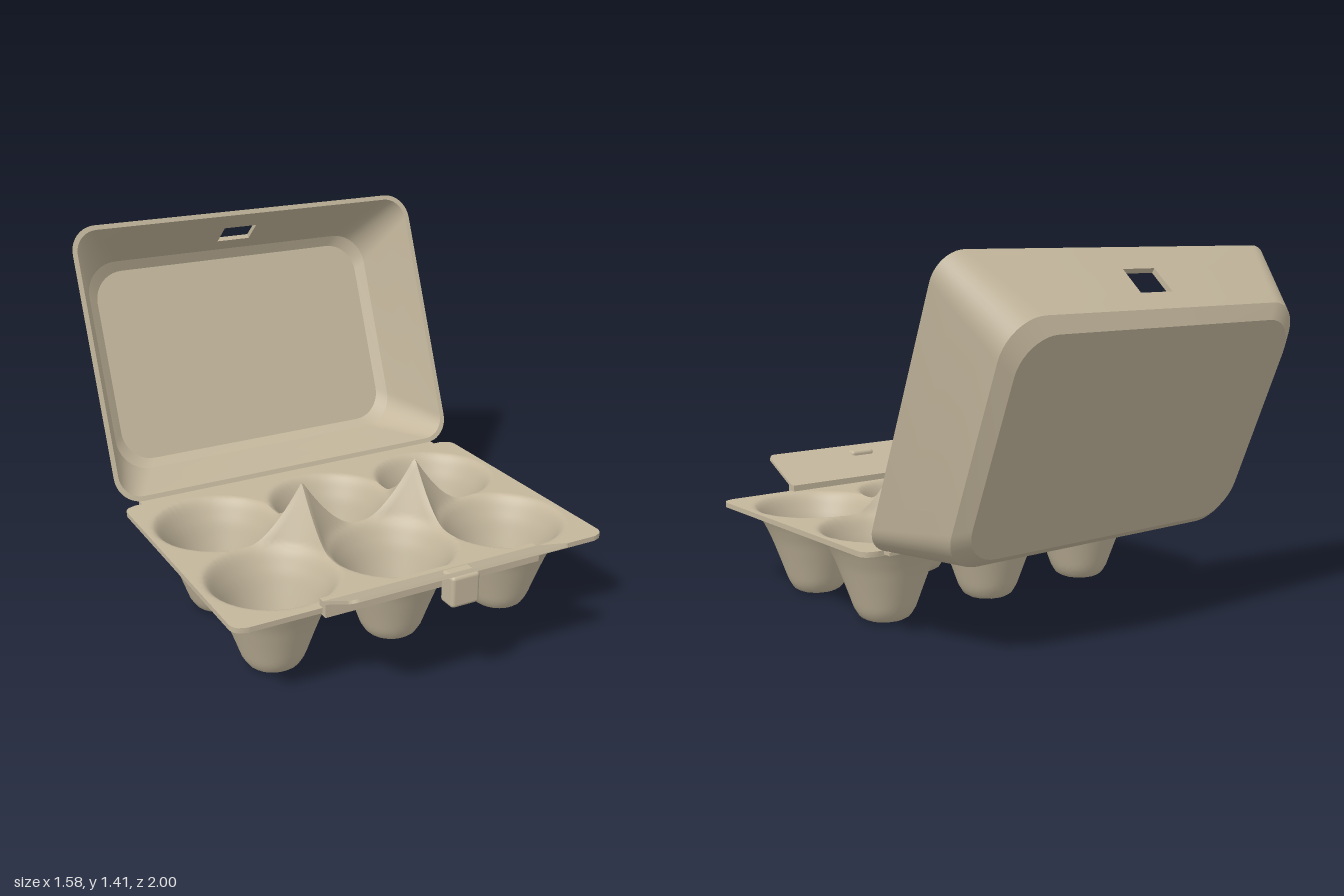
import * as THREE from 'three';
import { toCreasedNormals } from 'three/addons/utils/BufferGeometryUtils.js';
import { RoundedBoxGeometry } from 'three/addons/geometries/RoundedBoxGeometry.js';

const pulp = new THREE.MeshStandardMaterial({ color: 0xc3b69c });
pulp.name = 'pulp';

const mesh = (name, geometry) => {
  const m = new THREE.Mesh(geometry, pulp);
  m.name = name;
  return m;
};

// Cup cross-sections: [distance from cup centre, height], inside and outside
const INSIDE = [[0, 0.015], [0.085, 0.015], [0.105, 0.03], [0.125, 0.07], [0.155, 0.16],
  [0.19, 0.26], [0.225, 0.328], [0.24, 0.347], [0.25, 0.354], [0.36, 0.59]];
const OUTSIDE = [[0, 0], [0.08, 0], [0.1, 0.012], [0.12, 0.045], [0.15, 0.13],
  [0.185, 0.225], [0.215, 0.29], [0.24, 0.333], [0.25, 0.337], [0.36, 0.565]];

function sample(profile, r) {
  for (let i = 1; i < profile.length; i++) {
    const [r0, h0] = profile[i - 1], [r1, h1] = profile[i];
    if (r <= r1) return h0 + (h1 - h0) * (r - r0) / (r1 - r0);
  }
  return 1;
}

// Height of the moulded sheet: the nearest cup, capped by the deck or the posts between cups
function sheetHeight(x, z, profile, deck, peak) {
  const cx = 0.5 * THREE.MathUtils.clamp(Math.round(x / 0.5), -1, 1);
  const cz = 0.5 * THREE.MathUtils.clamp(Math.round(z / 0.5), 0, 1);
  const between = Math.abs(x) < 0.5 && z > 0 && z < 0.5;
  return Math.min(sample(profile, Math.hypot(x - cx, z - cz)), between ? peak : deck);
}

// Tray: upper and lower sheets joined by an edge band
function trayGeometry() {
  const nx = 136, nz = 96, halfX = 0.78, z0 = -0.3, z1 = 0.795, radius = 0.05;
  const position = [], index = [];
  const layer = (nx + 1) * (nz + 1);
  const id = (i, j, low) => low * layer + j * (nx + 1) + i;
  for (const [profile, deck, peak] of [[INSIDE, 0.355, 0.573], [OUTSIDE, 0.335, 0.553]]) {
    for (let j = 0; j <= nz; j++) {
      const z = z0 + (z1 - z0) * j / nz;
      const d = Math.max(0, radius - Math.min(z - z0, z1 - z)); // rounded corners
      const w = halfX - radius + Math.sqrt(radius * radius - d * d);
      for (let i = 0; i <= nx; i++) {
        const x = w * (2 * i / nx - 1);
        position.push(x, sheetHeight(x, z, profile, deck, peak), z);
      }
    }
  }
  for (let j = 0; j < nz; j++) for (let i = 0; i < nx; i++) for (const low of [0, 1]) {
    const a = id(i, j, low), b = id(i, j + 1, low), c = id(i + 1, j + 1, low), d = id(i + 1, j, low);
    if (low) index.push(a, c, b, a, d, c);
    else index.push(a, b, c, a, c, d);
  }
  const edge = [];
  for (let i = 0; i < nx; i++) edge.push([i, nz]);
  for (let j = nz; j > 0; j--) edge.push([nx, j]);
  for (let i = nx; i > 0; i--) edge.push([i, 0]);
  for (let j = 0; j < nz; j++) edge.push([0, j]);
  edge.forEach(([i, j], k) => {
    const [p, q] = edge[(k + 1) % edge.length];
    const a = id(i, j, 1), b = id(p, q, 1), c = id(p, q, 0), d = id(i, j, 0);
    index.push(a, b, c, a, c, d);
  });
  const g = new THREE.BufferGeometry();
  g.setAttribute('position', new THREE.Float32BufferAttribute(position, 3));
  g.setIndex(index);
  return toCreasedNormals(g, 0.7);
}

// Lid: rounded rectangles lofted from the outer floor over the rim to the inner floor
function lidGeometry() {
  const SEG = 10, HOLE = SEG + 1, MID = 0.5685;
  // lid coordinates (across, along, depth) to the opened position
  const place = (x, u, d) => [x, 0.355 + 0.928 * u - 0.374 * d, -0.325 - 0.374 * u - 0.928 * d];
  const ring = ([d, hw, hu, r]) => {
    const pts = [];
    [[1, 1], [-1, 1], [-1, -1], [1, -1]].forEach(([sx, su], q) => {
      for (let k = 0; k <= SEG; k++) {
        const a = (q + k / SEG) * Math.PI / 2;
        pts.push(place(sx * (hw - r) + r * Math.cos(a), MID + su * (hu - r) + r * Math.sin(a), d));
      }
      if (q === 0) for (const s of [1, -1]) pts.push(place(s * Math.min(0.075, hw - r), MID + hu, d));
    });
    return pts;
  };
  const mix = (a, b, t) => a.map((v, i) => v + (b[i] - v) * t);
  const outRim = [0, 0.79, MID, 0.11], outWall = [0.288, 0.69, 0.469, 0.15];
  const inRim = [0, 0.77, 0.549, 0.095], inWall = [0.278, 0.672, 0.451, 0.14];
  const rings = [
    [0.327, 0, 0, 0], [0.327, 0.642, 0.42, 0.14], outWall,
    mix(outRim, outWall, 0.74), mix(outRim, outWall, 0.36), outRim,
    inRim, mix(inRim, inWall, 0.36), mix(inRim, inWall, 0.74), inWall,
    [0.308, 0.632, 0.412, 0.13], [0.308, 0, 0, 0],
  ].map(ring);
  const position = [];
  const quad = (a, b, c, d) => position.push(...a, ...b, ...c, ...a, ...c, ...d);
  const n = rings[0].length;
  for (let s = 0; s < rings.length - 1; s++) for (let k = 0; k < n; k++) {
    if (k === HOLE && (s === 3 || s === 7)) continue; // latch opening
    const m = (k + 1) % n;
    quad(rings[s][k], rings[s][m], rings[s + 1][m], rings[s + 1][k]);
  }
  // walls of the latch opening
  const loop = (s, t) => [rings[s][HOLE], rings[s][HOLE + 1], rings[t][HOLE + 1], rings[t][HOLE]];
  const outer = loop(3, 4), inner = loop(8, 7);
  for (let j = 0; j < 4; j++) {
    const k = (j + 1) % 4;
    quad(outer[j], outer[k], inner[k], inner[j]);
  }
  const g = new THREE.BufferGeometry();
  g.setAttribute('position', new THREE.Float32BufferAttribute(position, 3));
  return toCreasedNormals(g, 0.45);
}

// Closing flap with rounded outer corners
function flapGeometry() {
  const w = 0.45, len = 0.23, r = 0.03;
  const s = new THREE.Shape();
  s.moveTo(-w, 0);
  s.lineTo(w, 0);
  s.lineTo(w, len - r);
  s.absarc(w - r, len - r, r, 0, Math.PI / 2);
  s.absarc(-w + r, len - r, r, Math.PI / 2, Math.PI);
  return new THREE.ExtrudeGeometry(s, { depth: 0.012, bevelEnabled: false, curveSegments: 6 });
}

export function createModel() {
  const model = new THREE.Group();
  model.name = 'eggCarton';
  model.add(mesh('tray', trayGeometry()), mesh('lid', lidGeometry()));

  const lidHinge = mesh('lidHinge', new THREE.BoxGeometry(1.4, 0.014, 0.05));
  lidHinge.position.set(0, 0.347, -0.31);

  const flapHinge = mesh('flapHinge', new THREE.BoxGeometry(0.9, 0.055, 0.045));
  flapHinge.position.set(0, 0.353, 0.793);

  const flap = mesh('flap', flapGeometry());
  flap.position.set(0, 0.378, 0.79);
  flap.rotation.x = 1.107;

  // Latch tab, its top just breaking through the flap
  const latch = mesh('latch', new RoundedBoxGeometry(0.115, 0.12, 0.078, 3, 0.014));
  latch.position.set(0, 0.405, 0.961);

  model.add(lidHinge, flapHinge, flap, latch);
  return model;
}
